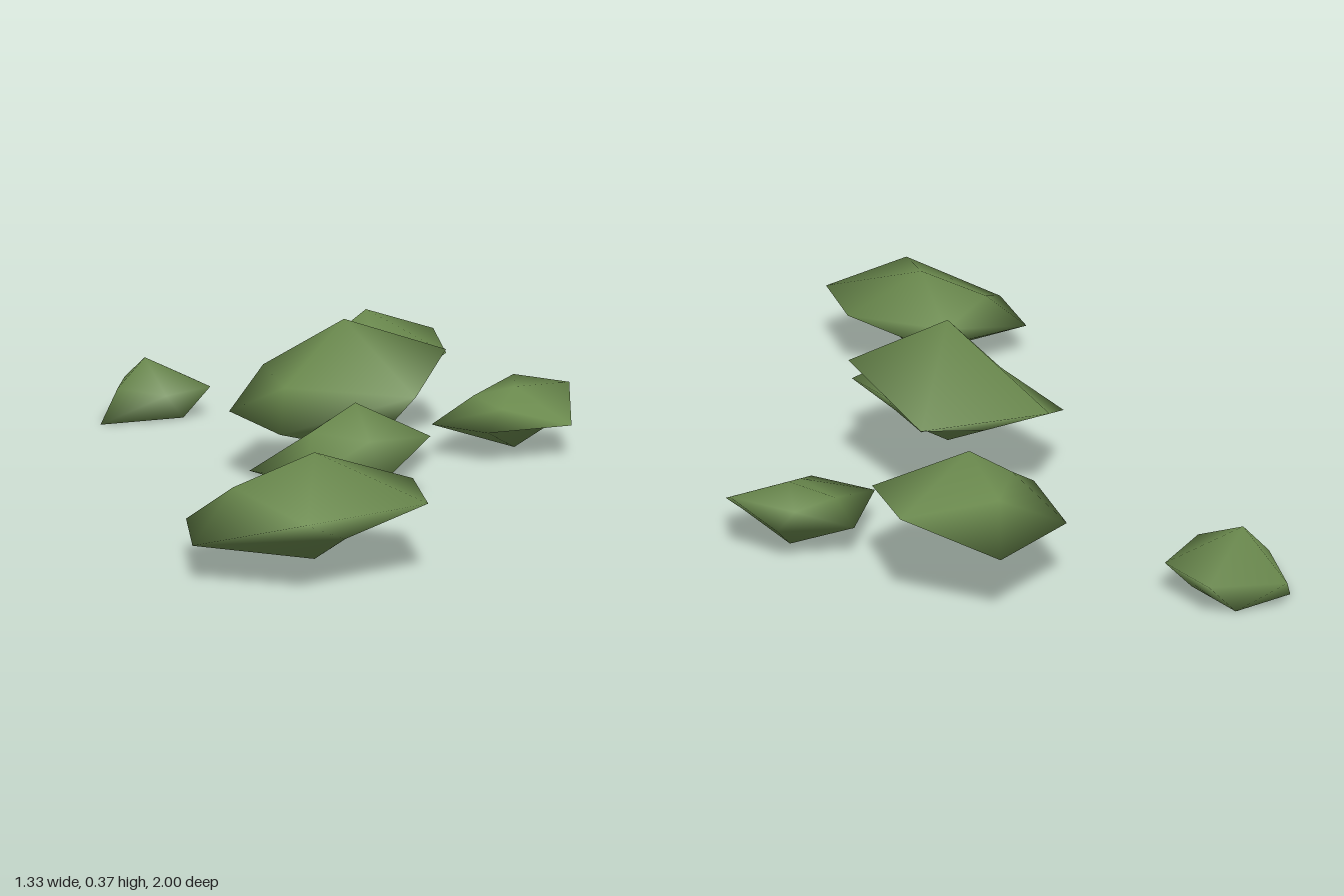
import * as THREE from 'three';

const UNIT = 1 / 13.5; // grid step of the layout

// A squashed, tilted icosahedron: top point, upper ring, lower ring, bottom point.
// Rings run counter-clockwise seen from above, lower points sit between upper ones.
function clumpGeometry(top, bottom, upper, lower) {
  const points = [top, ...upper, ...lower, bottom];
  const index = [];
  for (let i = 0; i < 5; i++) {
    const j = (i + 1) % 5;
    const u0 = 1 + i, u1 = 1 + j, l0 = 6 + i, l1 = 6 + j;
    index.push(0, u0, u1, u0, l0, u1, l0, l1, u1, 11, l1, l0);
  }
  const geometry = new THREE.BufferGeometry();
  geometry.setAttribute('position', new THREE.Float32BufferAttribute(points.flat().map(v => v * UNIT), 3));
  geometry.setIndex(index);
  geometry.computeVertexNormals();
  return geometry;
}

export function createModel() {
  const group = new THREE.Group();
  group.name = 'foliage';
  const leafGreen = new THREE.MeshStandardMaterial({ name: 'leafGreen', color: 0x6b8a4e });

  const addClump = (name, ...rings) => {
    const mesh = new THREE.Mesh(clumpGeometry(...rings), leafGreen);
    mesh.name = name;
    group.add(mesh);
  };

  // Tall clump in the middle
  addClump('centreClump', [0, 5, 0.5], [0, 1, 0.5],
    [[-1, 3, -3.5], [-2, 3, 0.5], [1, 3, 3.5], [3, 4, 1.5], [3, 3, -2.5]],
    [[-3, 2, -1.5], [-3, 2, 2.5], [1, 2, 2], [1.5, 2, -0.5], [0, 2, -1.5]]);

  // Wide clump at the front
  addClump('frontClump', [-5, 3, 9.5], [-5, 0, 9.5],
    [[-4, 2, 6.5], [-7, 2, 8.5], [-7, 2, 13.5], [-3, 2, 12.5], [-2, 2, 9.5]],
    [[-8, 1, 7.5], [-9, 1, 10.5], [-5, 1, 11.5], [-4, 1, 10.5], [-4, 1, 7.5]]);

  // Small clump tucked under the middle one
  addClump('lowerClump', [-1, 3, 3.5], [-1, 0, 3.5],
    [[1, 2, 2.5], [-1, 2, 1.5], [-2, 2, 2.5], [-1, 2, 4.5], [1, 2, 4.5]],
    [[-1, 1, 2], [-4, 1, 2.5], [-3, 1, 4.5], [-1, 1, 5.5], [0, 1, 3.5]]);

  // Raised clump behind
  addClump('rearClump', [4, 4, -6.5], [4, 1, -6.5],
    [[7, 3, -7.5], [4, 3, -8], [2.5, 3, -6.5], [3.5, 3, -5], [6, 2.7, -4.5]],
    [[5, 2, -9.5], [2, 2, -8.5], [1, 2, -5.5], [4, 2, -3.5], [5.5, 2, -6.5]]);

  // Flat-topped clump at the side
  addClump('sideClump', [7, 2, -1.5], [7, 0, -1.5],
    [[9, 2, -1.5], [8, 2, -3.5], [6, 1.6, -2.5], [6, 1.5, -0.5], [8, 1, 0.5]],
    [[8, 1, -2.5], [6, 1, -3.5], [4, 1, -1.5], [5, 1, 0.5], [8, 1, -0.5]]);

  // Smallest clump at the far back
  addClump('backClump', [-2, 2, -11.5], [-2, 0, -11.5],
    [[-2, 1, -13.5], [-3, 1, -11.5], [-2, 1, -9.5], [0, 1, -10.5], [0, 1, -12.5]],
    [[-3, 0, -12.5], [-4, 0, -10.5], [-1, 0, -10.5], [-1, 0, -11.5], [-1, 0, -12.5]]);

  return group;
}
